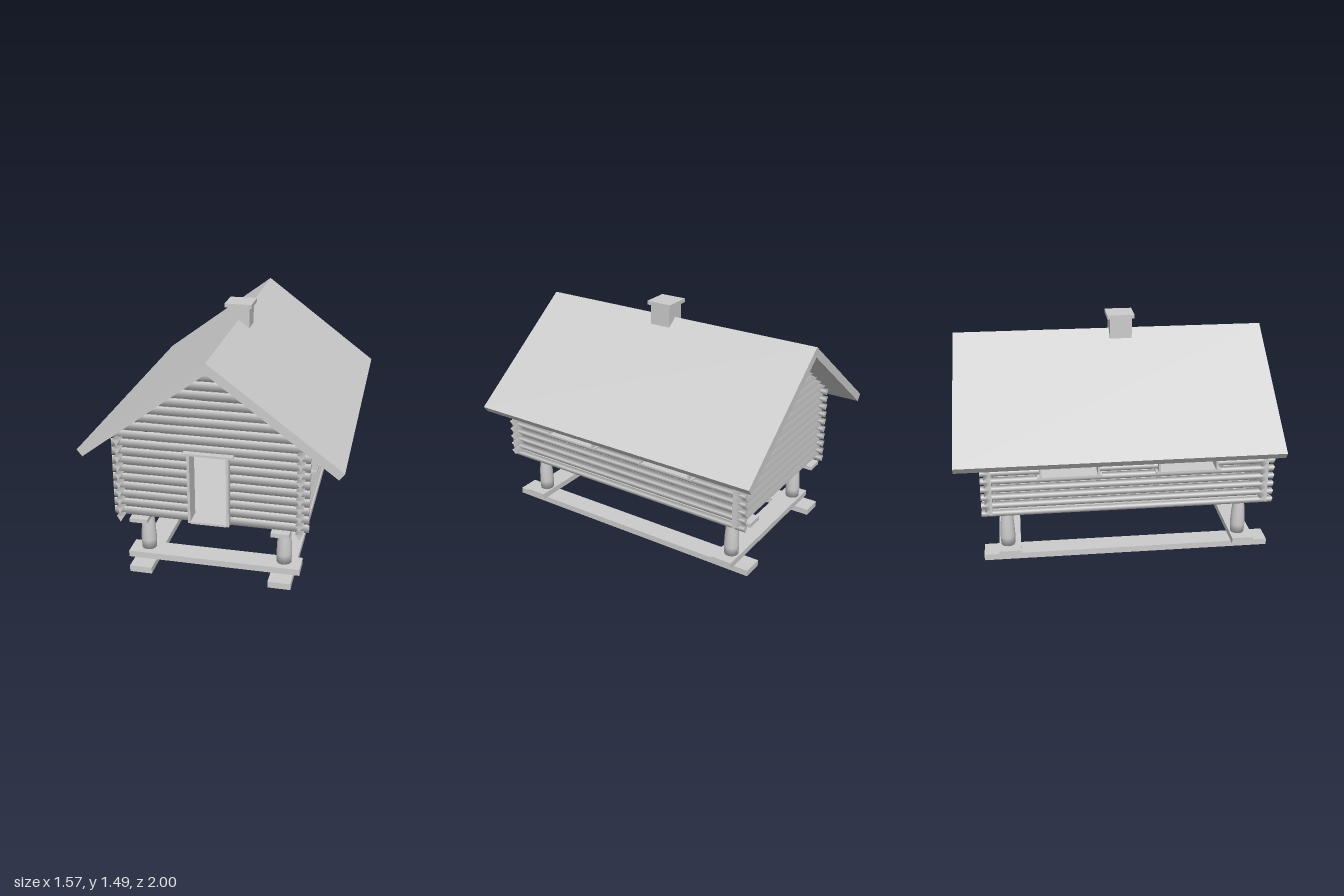
import * as THREE from 'three';

const mat = new THREE.MeshStandardMaterial({ color: 0xcccccc });
const MID = 0.07;          // centre of the house along z
const HALF = 0.93;         // half length of the house
const STEP = 0.0556;       // vertical spacing of the logs

function add(parent, name, geometry) {
  const mesh = new THREE.Mesh(geometry, mat);
  mesh.name = name;
  parent.add(mesh);
  return mesh;
}

// Box given by its extents on each axis
function box(parent, name, [x0, x1], [y0, y1], [z0, z1]) {
  const mesh = add(parent, name, new THREE.BoxGeometry(x1 - x0, y1 - y0, z1 - z0));
  mesh.position.set((x0 + x1) / 2, (y0 + y1) / 2, (z0 + z1) / 2);
}

// Three-sided log along z, edge pointing down
function sideLog(parent, x, y, z0, z1) {
  const g = new THREE.CylinderGeometry(0.026, 0.026, z1 - z0, 3).rotateX(Math.PI / 2);
  add(parent, 'sideLog', g).position.set(x, y, (z0 + z1) / 2);
}

// Three-sided log along x, edge pointing back
function crossLog(parent, z, y, x0, x1) {
  const g = new THREE.CylinderGeometry(0.03, 0.03, x1 - x0, 3).rotateY(Math.PI).rotateZ(Math.PI / 2);
  add(parent, 'gableLog', g).position.set((x0 + x1) / 2, y, z);
}

function group(parent, name) {
  const g = new THREE.Group();
  g.name = name;
  parent.add(g);
  return g;
}

export function createModel() {
  const model = new THREE.Group();
  model.name = 'raisedLogCabin';
  const back = MID - HALF, front = MID + HALF;

  // Ground runners, posts and floor bearers
  const base = group(model, 'base');
  const postProfile = [[0, 0.08], [0.045, 0.08], [0.048, 0.14], [0.044, 0.22], [0.037, 0.3], [0.03, 0.345], [0, 0.345]]
    .map(p => new THREE.Vector2(...p));
  for (const s of [-1, 1]) {
    const x = s * 0.428;
    box(base, 'groundRunner', [x - 0.069, x + 0.069], [0, 0.04], [back, front]);
    box(base, 'floorBearer', [x - 0.055, x + 0.055], [0.345, 0.371], [back, front]);
    for (const z of [0.815, -0.705])
      add(base, 'post', new THREE.LatheGeometry(postProfile, 24)).position.set(x, 0, z);
  }
  for (const z of [0.83, -0.693])
    box(base, 'crossBeam', [-0.535, 0.535], [0.04, 0.08], [z - 0.07, z + 0.07]);
  box(base, 'floor', [-0.53, 0.53], [0.371, 0.384], [-0.81, 0.94]);

  // Side walls with two windows each
  const windows = [[0.255, 0.62], [-0.485, -0.125]];
  for (const s of [-1, 1]) {
    const wall = group(model, s > 0 ? 'leftWall' : 'rightWall');
    for (let i = 0; i < 10; i++) {
      const y = 0.367 + i * STEP, x = s * 0.54;
      if (i >= 5 && i <= 7) {
        sideLog(wall, x, y, windows[0][1], front);
        sideLog(wall, x, y, windows[1][1], windows[0][0]);
        sideLog(wall, x, y, back, windows[1][0]);
      } else sideLog(wall, x, y, back, front);
    }
    const depth = [s * 0.54 - 0.05, s * 0.54 + 0.05];
    for (const [z0, z1] of windows) {
      const frame = group(wall, 'windowFrame');
      box(frame, 'windowSill', depth, [0.606, 0.617], [z0 - 0.022, z1 + 0.022]);
      box(frame, 'windowHead', depth, [0.775, 0.786], [z0 - 0.022, z1 + 0.022]);
      for (const z of [z0, z1])
        box(frame, 'windowJamb', depth, [0.617, 0.775], [z - 0.007, z + 0.007]);
    }
  }

  // Gable walls, the front one with a doorway; upper logs shorten under the roof
  for (const [name, z] of [['frontWall', 0.936], ['backWall', -0.806]]) {
    const wall = group(model, name);
    for (let i = 0; i < 17; i++) {
      const y = 0.396 + i * STEP;
      const half = i < 9 ? 0.59 : (1.335 - y) / 0.75;
      if (name === 'frontWall' && i < 8) {
        crossLog(wall, z, y, -half, -0.115);
        crossLog(wall, z, y, 0.115, half);
      } else crossLog(wall, z, y, -half, half);
    }
  }

  // Door frame
  const door = group(model, 'doorFrame');
  const depth = [0.88, 0.99];
  for (const s of [-1, 1])
    box(door, 'doorJamb', [s * 0.116 - 0.008, s * 0.116 + 0.008], [0.375, 0.812], depth);
  box(door, 'doorLintel', [-0.15, 0.15], [0.812, 0.825], depth);
  box(door, 'doorSill', [-0.108, 0.108], [0.372, 0.386], depth);

  // Roof as one folded slab
  const roof = new THREE.Shape([[0, 1.385], [-0.787, 0.795], [-0.755, 0.753], [0, 1.32], [0.755, 0.753], [0.787, 0.795]]
    .map(p => new THREE.Vector2(...p)));
  add(model, 'roof', new THREE.ExtrudeGeometry(roof, { depth: 2, bevelEnabled: false }).translate(0, 0, -1));

  // Chimney
  const chimney = group(model, 'chimney');
  box(chimney, 'chimneyStack', [-0.07, 0.07], [1.32, 1.465], [0, 0.142]);
  box(chimney, 'chimneyCap', [-0.087, 0.087], [1.465, 1.49], [-0.018, 0.157]);

  return model;
}
